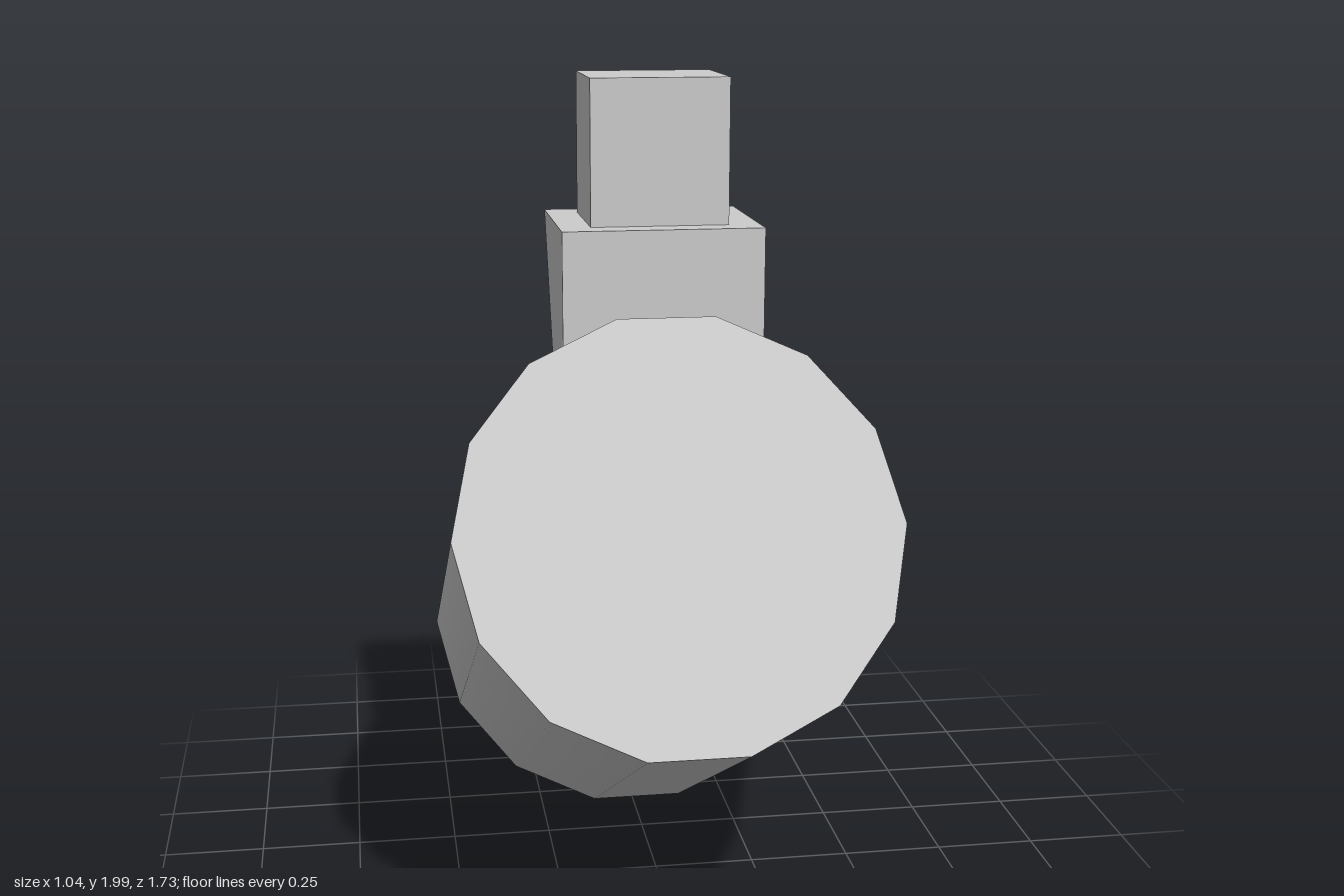
import * as THREE from 'three';

const SIDES = 14;

export function createModel() {
  const model = new THREE.Group();
  const grey = new THREE.MeshStandardMaterial({ color: 0xcccccc, side: THREE.DoubleSide });
  grey.name = 'lightGrey';

  const add = (parent, name, geometry, x = 0, y = 0, z = 0) => {
    const mesh = new THREE.Mesh(geometry, grey);
    mesh.name = name;
    mesh.position.set(x, y, z);
    parent.add(mesh);
  };

  // Open smooth wall, with a corner on the widest point
  const wall = (radius, length) =>
    new THREE.CylinderGeometry(radius, radius, length, SIDES, 1, true, Math.PI / 2);
  const ring = (inner, outer) =>
    new THREE.RingGeometry(inner, outer, SIDES, 1).rotateX(Math.PI / 2);
  const disc = (radius, turn) =>
    new THREE.CircleGeometry(radius, SIDES).rotateX(turn);

  // Tilted barrel: its local +y is the axis towards the front
  const barrel = new THREE.Group();
  barrel.name = 'barrel';
  barrel.position.set(0, 0.755, 0.148);
  barrel.rotation.x = Math.atan2(0.965, 0.52);
  model.add(barrel);

  const front = 0.548, back = -0.548, tip = -0.975, floor = -0.35;
  const bodyR = 0.52, tubeR = 0.331, boreR = 0.252;
  add(barrel, 'bodyWall', wall(bodyR, front - back));
  add(barrel, 'frontCap', disc(bodyR, -Math.PI / 2), 0, front);
  add(barrel, 'backCap', ring(tubeR, bodyR), 0, back);

  // Hollow tube at the back
  add(barrel, 'tubeWall', wall(tubeR, back - tip), 0, (back + tip) / 2);
  add(barrel, 'tubeRim', ring(boreR, tubeR), 0, tip);
  add(barrel, 'boreWall', wall(boreR, floor - tip), 0, (floor + tip) / 2);
  add(barrel, 'boreFloor', disc(boreR, Math.PI / 2), 0, floor);

  // Neck: box whose lower back corners are drawn in and down into the barrel
  const neck = new THREE.BoxGeometry(0.474, 0.4, 0.4).toNonIndexed();
  const p = neck.attributes.position;
  for (let i = 0; i < p.count; i++) {
    const isTop = p.getY(i) > 0, isFront = p.getZ(i) > 0;
    const halfWidth = isTop || isFront ? 0.237 : 0.215;
    p.setXYZ(
      i,
      Math.sign(p.getX(i)) * halfWidth,
      isTop ? 1.66 : isFront ? 1.25 : 1.05,
      isFront ? 0.36 : isTop ? -0.042 : 0.017
    );
  }
  neck.computeVertexNormals();
  add(model, 'neck', neck);

  // Square post on the neck
  add(model, 'post', new THREE.BoxGeometry(0.326, 0.35, 0.275), 0, 1.825, 0.158);

  return model;
}
